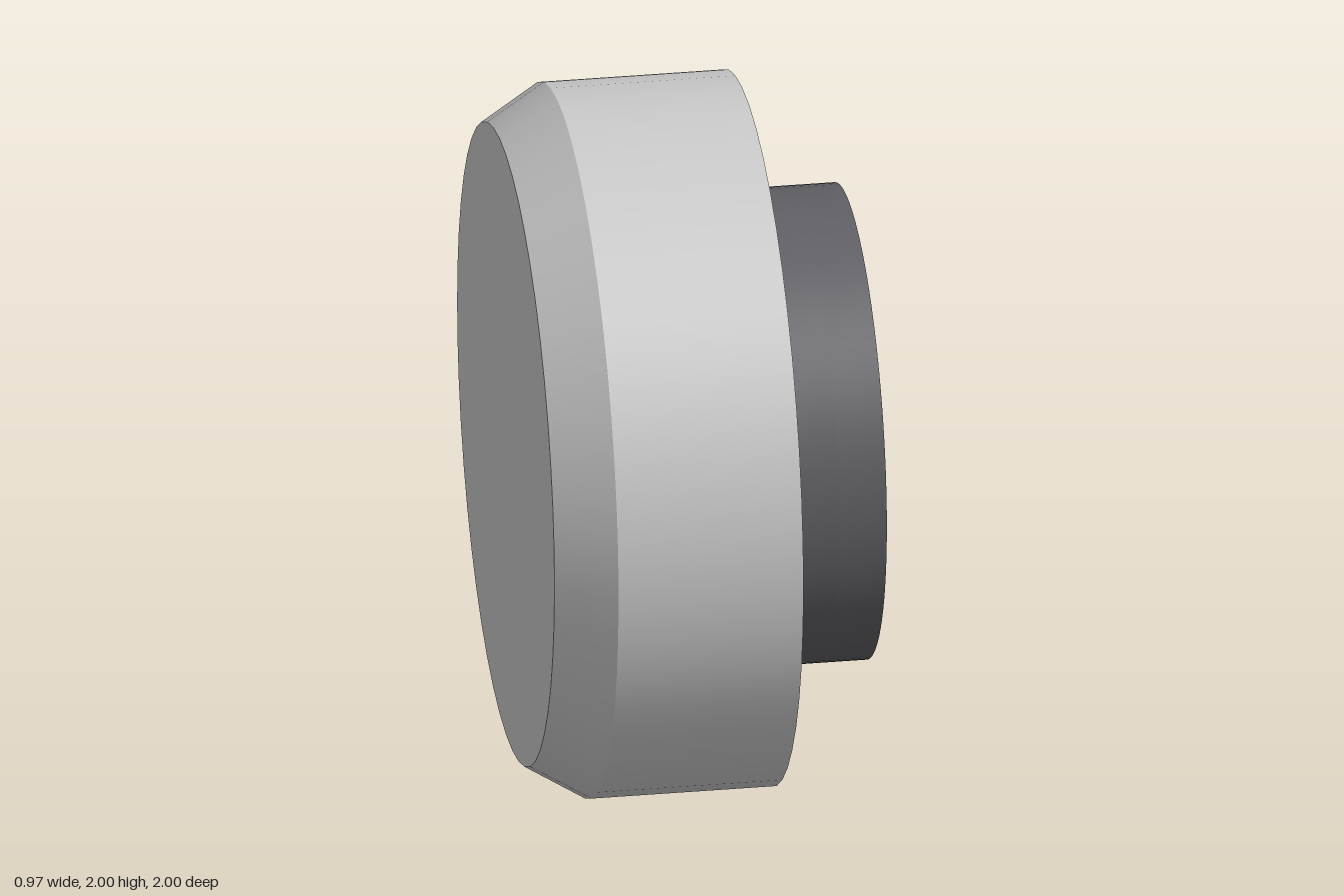
import * as THREE from 'three';
import { toCreasedNormals } from 'three/addons/utils/BufferGeometryUtils.js';

const light = new THREE.MeshStandardMaterial({ color: 0xcccccc });
const dark = new THREE.MeshStandardMaterial({ color: 0x606066 });
const SIDES = 48;

export function createModel() {
  const model = new THREE.Group();
  model.name = 'wheelWithHub';

  const add = (name, geometry, material) => {
    const mesh = new THREE.Mesh(geometry, material);
    mesh.name = name;
    mesh.position.y = 1;
    model.add(mesh);
  };

  // Round band along x, from radius r0 at x0 to r1 at x1
  const band = (x0, r0, x1, r1) =>
    new THREE.CylinderGeometry(r1, r0, x1 - x0, SIDES, 1, true)
      .rotateZ(-Math.PI / 2).translate((x0 + x1) / 2, 0, 0);

  // Flat disc facing +x (dir 1) or -x (dir -1)
  const disc = (x, r, dir) =>
    new THREE.CircleGeometry(r, SIDES).rotateY(dir * Math.PI / 2).translate(x, 0, 0);

  // Wheel body: tread, bevelled shoulder and end faces
  add('tread', band(-0.32, 1, 0.2, 1), light);
  add('shoulder', band(-0.485, 0.9, -0.32, 1), light);
  add('outerFace', disc(-0.485, 0.9, -1), light);
  add('innerFace', disc(0.2, 1, 1), dark);

  // Short neck between wheel and flange
  add('neck', band(0.2, 0.42, 0.215, 0.42), dark);

  // Five bolt holes on a 45 degree pattern, leaving out three positions
  const boltHoles = [1, 3, 4, 5, 7].map((i) => {
    const a = i * Math.PI / 4;
    return new THREE.Path().absarc(0.525 * Math.cos(a), 0.525 * Math.sin(a), 0.085, 0, Math.PI * 2, true);
  });

  const flange = (x0, x1, extraHoles) => {
    const shape = new THREE.Shape().absarc(0, 0, 0.665, 0, Math.PI * 2, false);
    shape.holes.push(...boltHoles, ...extraHoles);
    const geometry = new THREE.ExtrudeGeometry(shape, { depth: x1 - x0, bevelEnabled: false, curveSegments: SIDES });
    return toCreasedNormals(geometry.rotateY(Math.PI / 2).translate(x0, 0, 0), 0.5);
  };

  // Flange: solid rear half, front half with a central recess
  const recess = new THREE.Path().absarc(0, 0, 0.335, 0, Math.PI * 2, true);
  add('flangeRear', flange(0.215, 0.35, []), dark);
  add('flangeFront', flange(0.35, 0.485, [recess]), dark);

  return model;
}
